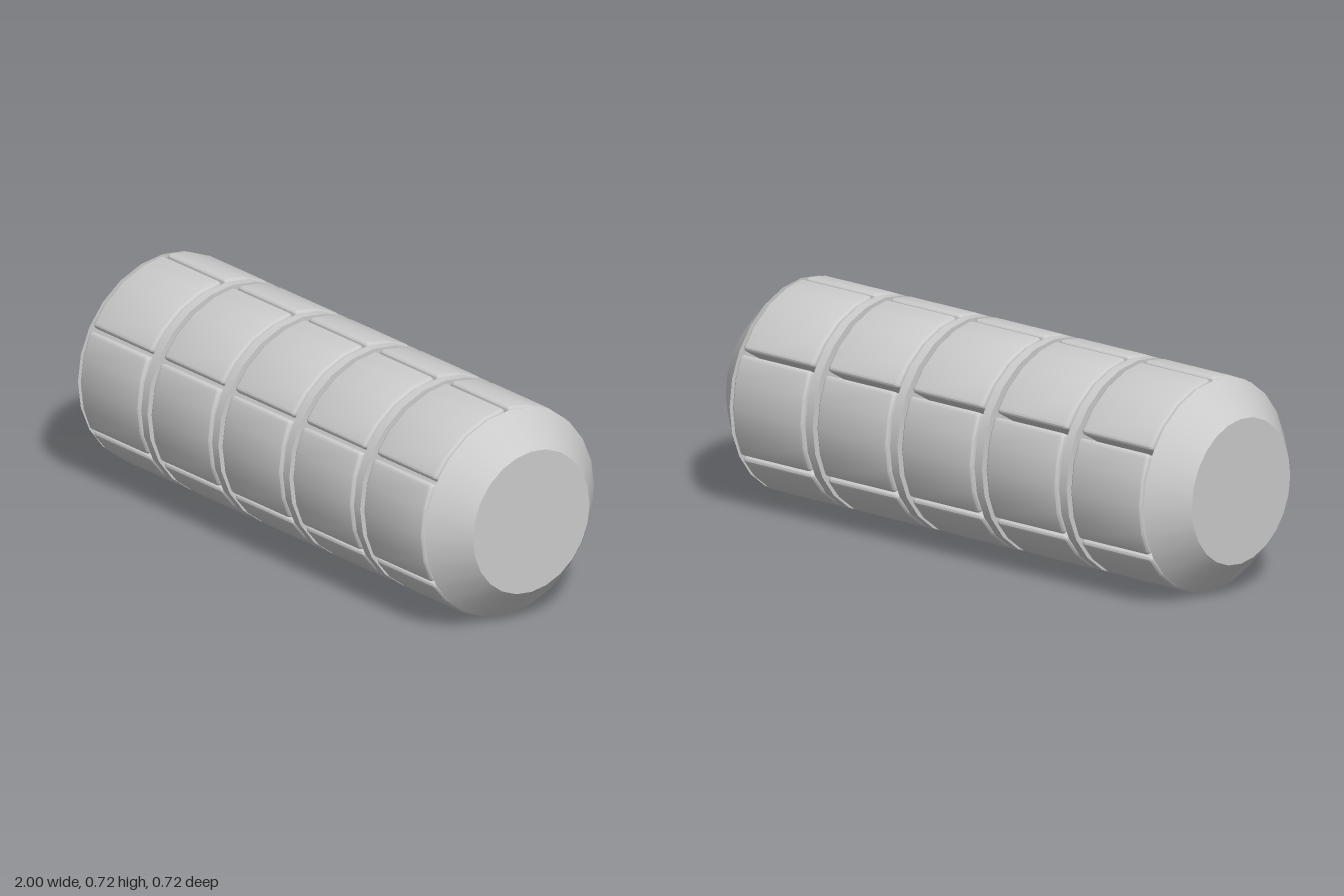
import * as THREE from 'three';
import { mergeVertices, toCreasedNormals } from 'three/addons/utils/BufferGeometryUtils.js';

const RADIUS = 0.361, CORE_RADIUS = 0.267, SIDES = 24;
const PITCH = 0.363, PANEL_WIDTH = 0.305, BEVEL = 0.015, GAP = 0.012;

// Grid lines from -h to h: two bevel steps at each end, extra lines between.
const gridLines = (h, inner = []) => [
  -h, -h + BEVEL / 2, -h + BEVEL, ...inner, h - BEVEL, h - BEVEL / 2, h,
];

// A box with rounded edges, bent around the x axis through 60 degrees.
function panelGeometry() {
  const depth = RADIUS - CORE_RADIUS + 0.02;
  const step = RADIUS * Math.PI / 12;
  const halves = [PANEL_WIDTH / 2, RADIUS * Math.PI / 6 - GAP / 2, depth / 2];
  const grids = [gridLines(halves[0]), gridLines(halves[1], [-step, 0, step]), gridLines(halves[2])];
  const n = grids.map((g) => g.length - 1);

  let geometry = new THREE.BoxGeometry(...n, ...n);
  geometry.deleteAttribute('normal');
  geometry.deleteAttribute('uv');
  const pos = geometry.attributes.position;
  for (let i = 0; i < pos.count; i++) {
    const p = new THREE.Vector3(), c = new THREE.Vector3();
    for (let a = 0; a < 3; a++) {
      const v = grids[a][Math.round(pos.getComponent(i, a) + n[a] / 2)];
      const limit = halves[a] - BEVEL;
      p.setComponent(a, v);
      c.setComponent(a, THREE.MathUtils.clamp(v, -limit, limit));
    }
    p.sub(c).setLength(BEVEL).add(c);
    const r = RADIUS - depth / 2 + p.z, angle = p.y / RADIUS;
    pos.setXYZ(i, p.x, r * Math.sin(angle), r * Math.cos(angle));
  }
  geometry = mergeVertices(geometry, 1e-5);
  return toCreasedNormals(geometry, 0.35);
}

export function createModel() {
  const model = new THREE.Group();
  model.name = 'segmentedCylinder';
  const material = new THREE.MeshStandardMaterial({ color: 0xcccccc });

  const body = new THREE.Group();
  body.name = 'body';
  body.position.y = RADIUS;
  model.add(body);

  const add = (name, geometry, x = 0) => {
    const mesh = new THREE.Mesh(geometry, material);
    mesh.name = name;
    mesh.position.x = x;
    body.add(mesh);
    return mesh;
  };
  // Cylinder lying along x; the first radius is on the +x end.
  const rod = (rPlus, rMinus, length) =>
    new THREE.CylinderGeometry(rPlus, rMinus, length, SIDES).rotateZ(-Math.PI / 2);

  // Inner core seen in the grooves
  add('core', rod(CORE_RADIUS, CORE_RADIUS, 1.9));

  // Tapered end caps
  const capLength = 0.112, capX = 1 - capLength / 2;
  add('leftEndCap', rod(0.246, 0.357, capLength), capX);
  add('rightEndCap', rod(0.357, 0.246, capLength), -capX);

  // Thin rings between the rows
  const ring = rod(0.36, 0.36, 0.032);
  for (let i = 0; i < 4; i++) add(`ring${i + 1}`, ring, (i - 1.5) * PITCH);

  // Five rows of six curved panels
  const panel = panelGeometry();
  for (let row = 0; row < 5; row++) {
    for (let k = 0; k < 6; k++) {
      const mesh = add(`panelRow${row + 1}Part${k + 1}`, panel, (row - 2) * PITCH);
      mesh.rotation.x = k * Math.PI / 3;
    }
  }
  return model;
}
